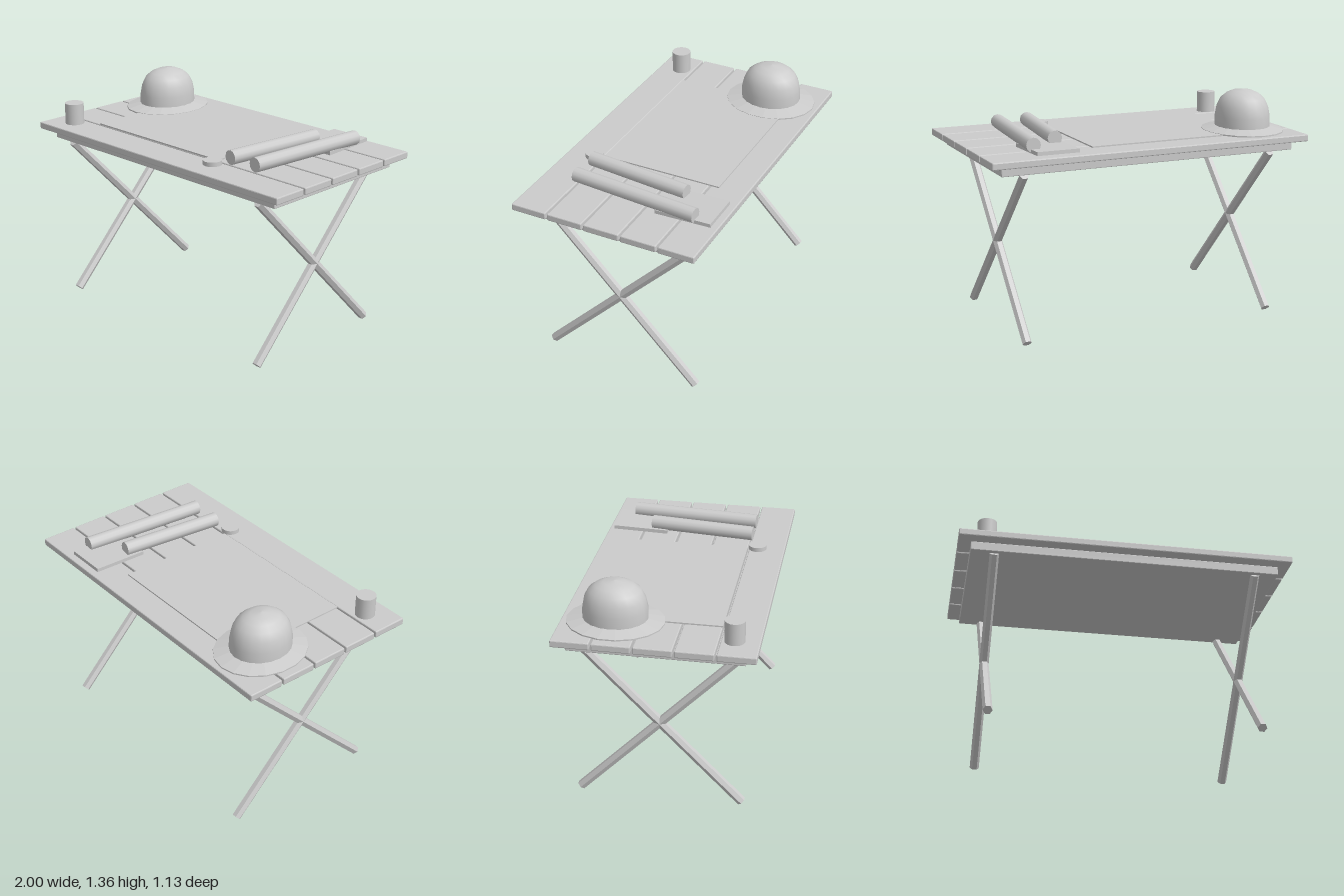
import * as THREE from 'three';
import { RoundedBoxGeometry } from 'three/addons/geometries/RoundedBoxGeometry.js';

export function createModel() {
  const model = new THREE.Group();
  model.name = 'campTable';
  const smooth = new THREE.MeshStandardMaterial({ color: 0xcccccc });
  const flat = new THREE.MeshStandardMaterial({ color: 0xcccccc, flatShading: true });

  const add = (name, geometry, x, y, z, material = smooth) => {
    const mesh = new THREE.Mesh(geometry, material);
    mesh.name = name;
    mesh.position.set(x, y, z);
    model.add(mesh);
    return mesh;
  };

  // Table top: five planks on a solid under-frame
  const TOP = 1.105;
  for (let i = -2; i <= 2; i++) {
    add('plank', new RoundedBoxGeometry(2, 0.042, 0.217, 1, 0.006), 0, TOP - 0.021, i * 0.229, flat);
  }
  add('underFrame', new RoundedBoxGeometry(1.85, 0.054, 1, 1, 0.004), 0, 1.034, 0, flat);

  // Crossed hexagonal legs, one pair at each end
  const legLength = Math.hypot(0.955, 0.985);
  const legTilt = Math.atan2(0.955, 0.985);
  const legGeometry = new THREE.CylinderGeometry(0.028, 0.028, legLength, 6).rotateY(Math.PI / 2);
  for (const side of [-1, 1]) {
    for (const lean of [-1, 1]) {
      add('leg', legGeometry, side * 0.785, 0.51, 0, flat).rotation.x = lean * legTilt;
    }
  }

  // Paper sheet lying flat
  add('sheet', new THREE.BoxGeometry(1.03, 0.008, 0.74), -0.175, TOP + 0.004, -0.03, flat);

  // Sun hat: oval sloping brim and rounded crown
  const lathe = (points, segments) =>
    new THREE.LatheGeometry(points.map(([r, y]) => new THREE.Vector2(r, y)), segments);
  const brim = add('hatBrim', lathe([[0, 0.002], [0.28, 0.002], [0.28, 0.01], [0.18, 0.032], [0, 0.032]], 18),
    -0.715, TOP, -0.26, flat);
  brim.scale.x = 0.86;
  const crown = add('hatCrown',
    lathe([[0.186, 0.02], [0.185, 0.09], [0.173, 0.15], [0.148, 0.197], [0.11, 0.226], [0.065, 0.244], [0, 0.252]], 20),
    -0.715, TOP, -0.26);
  crown.scale.x = 0.87;

  // Cup and small round tin
  add('cup', new THREE.CylinderGeometry(0.058, 0.058, 0.13, 20), -0.83, TOP + 0.065, 0.425);
  add('tin', new THREE.CylinderGeometry(0.055, 0.055, 0.026, 20), 0.355, TOP + 0.013, 0.4);

  // Thin book, slightly raised at the back
  add('book', new THREE.BoxGeometry(0.255, 0.022, 0.34), 0.598, 1.121, -0.36, flat).rotation.x = 0.03;

  // Rolled papers: [front x, front z, back x, back z]
  for (const [x0, z0, x1, z1] of [[0.455, 0.357, 0.525, -0.288], [0.643, 0.357, 0.71, -0.432]]) {
    const length = Math.hypot(x1 - x0, z1 - z0);
    const roll = new THREE.CylinderGeometry(0.043, 0.043, length, 12).rotateX(Math.PI / 2);
    add('paperRoll', roll, (x0 + x1) / 2, 1.157, (z0 + z1) / 2).rotation.y = Math.atan2(x0 - x1, z0 - z1);
  }

  return model;
}
